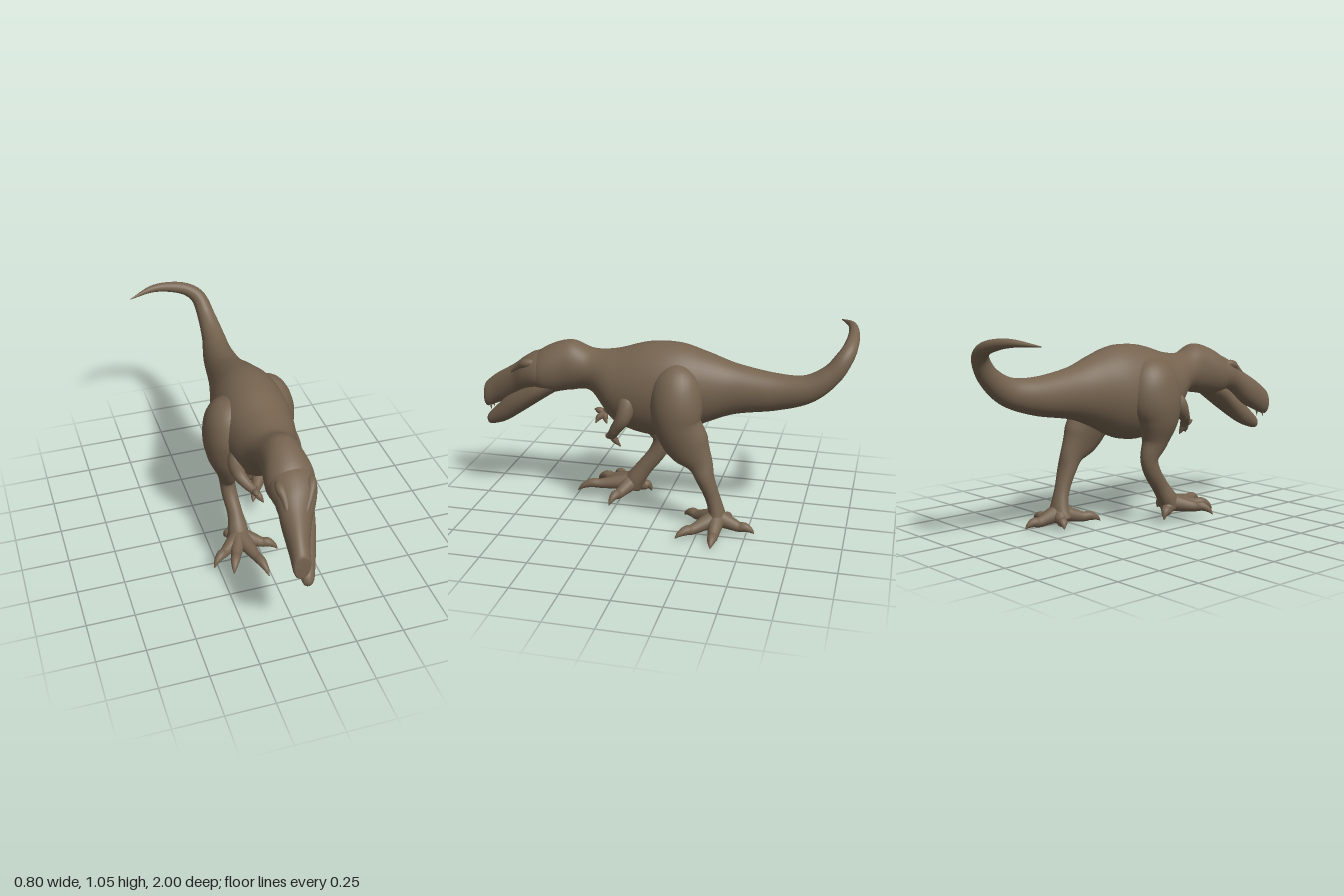
import * as THREE from 'three';

const hide = new THREE.MeshStandardMaterial({ color: 0x75634f });
hide.name = 'brownHide';

// Smooth loft through sections [x, y, z, halfWidth, halfDepth].
// Rings follow the path unless aim(centre, tangent) gives another direction.
function loft(name, sections, { steps = 6, sides = 28, aim = (c, dir) => dir } = {}) {
  const path = new THREE.CatmullRomCurve3(sections.map(s => new THREE.Vector3(s[0], s[1], s[2])), false, 'catmullrom');
  const size = new THREE.CatmullRomCurve3(sections.map(s => new THREE.Vector3(s[3], s[4] ?? s[3], 0)), false, 'catmullrom');
  const rings = (sections.length - 1) * steps;
  const pos = [], index = [];
  const side = new THREE.Vector3(1, 0, 0);
  for (let i = 0; i <= rings; i++) {
    const t = i / rings;
    const c = path.getPoint(t), r = size.getPoint(t);
    const dir = aim(c, path.getTangent(t));
    if (i === 0 && Math.abs(dir.x) > 0.7) side.set(0, 0, 1);
    side.addScaledVector(dir, -side.dot(dir)).normalize();
    const up = dir.clone().cross(side);
    for (let j = 0; j < sides; j++) {
      const a = j / sides * Math.PI * 2;
      const p = c.clone()
        .addScaledVector(side, Math.max(r.x, 0.001) * Math.cos(a))
        .addScaledVector(up, Math.max(r.y, 0.001) * Math.sin(a));
      pos.push(p.x, p.y, p.z);
    }
  }
  for (let i = 0; i < rings; i++) for (let j = 0; j < sides; j++) {
    const k = (j + 1) % sides;
    const a = i * sides + j, b = i * sides + k, c = b + sides, d = a + sides;
    index.push(a, b, c, a, c, d);
  }
  // End caps
  const first = pos.length / 3, last = first + 1, base = rings * sides;
  pos.push(...path.getPoint(0).toArray(), ...path.getPoint(1).toArray());
  for (let j = 0; j < sides; j++) {
    const k = (j + 1) % sides;
    index.push(first, k, j, last, base + j, base + k);
  }
  const g = new THREE.BufferGeometry();
  g.setAttribute('position', new THREE.Float32BufferAttribute(pos, 3));
  g.setIndex(index);
  g.computeVertexNormals();
  const mesh = new THREE.Mesh(g, hide);
  mesh.name = name;
  return mesh;
}

function blob(name, p, s, rot = [0, 0, 0]) {
  const m = new THREE.Mesh(new THREE.SphereGeometry(1, 20, 14), hide);
  m.name = name;
  m.position.set(...p);
  m.scale.set(...s);
  m.rotation.set(...rot);
  return m;
}

// Splayed toes, each ending in a down-curved claw; lift arches them higher
function foot(name, [cx, cy, cz], lift, tips) {
  const g = new THREE.Group();
  g.name = name;
  for (const [x, y, z] of tips) {
    const at = (f, h, r) => [cx + (x - cx) * f, h, cz + (z - cz) * f, r];
    g.add(loft('toe', [
      at(0, cy, 0.05), at(0.3, cy * 0.55 + y * 0.45 + 0.01 + lift * 0.4, 0.038), at(0.58, y + 0.026 + lift, 0.027),
      at(0.74, y + 0.029 + lift, 0.025), at(0.9, y + 0.018 + lift * 0.6, 0.015), at(1, y, 0.002),
    ], { sides: 14, steps: 4 }));
  }
  return g;
}

function arm(name, path, fingers) {
  const g = new THREE.Group();
  g.name = name;
  g.add(loft('forelimb', path, { sides: 16 }));
  const [x, y, z] = path[path.length - 1];
  for (const [fx, fy, fz] of fingers) {
    g.add(loft('finger', [
      [x, y, z, 0.018], [(x + fx) / 2, (y + fy) / 2 + 0.004, (z + fz) / 2 + 0.006, 0.017], [fx, fy, fz, 0.003],
    ], { sides: 12 }));
  }
  return g;
}

export function createModel() {
  const model = new THREE.Group();
  model.name = 'dinosaur';
  const forward = new THREE.Vector3(0, 0, 1), backward = new THREE.Vector3(0, 0, -1);

  // Neck, torso and curling tail; rings stay upright until the tail begins
  model.add(loft('body', [
    [0.018, 0.735, 0.72, 0.07, 0.07], [0.02, 0.763, 0.62, 0.122, 0.125], [0.02, 0.799, 0.48, 0.106, 0.136],
    [0.012, 0.778, 0.36, 0.112, 0.115], [0.02, 0.71, 0.23, 0.17, 0.194], [0.02, 0.705, 0.06, 0.197, 0.247],
    [0.022, 0.715, -0.1, 0.19, 0.243], [0.018, 0.73, -0.25, 0.148, 0.187], [0.012, 0.733, -0.4, 0.108, 0.133],
    [0.018, 0.735, -0.6, 0.085, 0.098], [0.035, 0.767, -0.76, 0.065, 0.073], [0.028, 0.845, -0.875, 0.05, 0.055],
    [0.002, 0.935, -0.94, 0.042, 0.044], [-0.06, 0.987, -0.965, 0.035, 0.035], [-0.16, 1.017, -0.968, 0.028, 0.028],
    [-0.27, 1.03, -0.948, 0.019, 0.019], [-0.4, 1.02, -0.888, 0.002, 0.002],
  ], {
    steps: 8, sides: 40,
    aim: (c, dir) => dir.lerp(backward, THREE.MathUtils.smoothstep(c.z, -0.7, -0.4)).normalize(),
  }));

  // Head: skull with snout, and lower jaw, slightly turned
  const head = new THREE.Group();
  head.name = 'head';
  head.add(loft('upperJaw', [
    [0.02, 0.772, 0.54, 0.09, 0.1], [0.02, 0.762, 0.64, 0.118, 0.108], [0.012, 0.737, 0.73, 0.1, 0.094],
    [-0.014, 0.678, 0.81, 0.076, 0.092], [-0.038, 0.617, 0.92, 0.052, 0.085], [-0.048, 0.577, 0.985, 0.045, 0.074],
    [-0.049, 0.57, 1.0, 0.036, 0.06],
  ], { aim: () => forward }));
  head.add(loft('lowerJaw', [
    [0.03, 0.72, 0.54, 0.07, 0.055], [0.03, 0.667, 0.64, 0.093, 0.068], [0.03, 0.6, 0.74, 0.077, 0.07],
    [0.018, 0.524, 0.85, 0.053, 0.068], [0.002, 0.47, 0.93, 0.038, 0.047], [-0.004, 0.45, 0.965, 0.027, 0.032],
    [-0.004, 0.447, 0.98, 0.008, 0.01],
  ], { aim: () => forward }));
  for (const s of [-1, 1]) {
    // Slim brow ridges running down to the snout
    head.add(loft('brow', [
      [0.018 + s * 0.075, 0.815, 0.64, 0.01], [0.016 + s * 0.078, 0.812, 0.7, 0.024],
      [0.008 + s * 0.063, 0.783, 0.75, 0.018], [-0.016 + s * 0.04, 0.725, 0.82, 0.01],
    ], { sides: 14 }));
    head.add(blob('nostrilRidge', [-0.047 + s * 0.018, 0.637, 0.955], [0.013, 0.012, 0.035], [0.6, 0, 0]));
    const tooth = new THREE.Mesh(new THREE.ConeGeometry(0.007, 0.03, 8), hide);
    tooth.name = 'tooth';
    tooth.position.set(-0.045 + s * 0.022, 0.502, 0.965);
    tooth.rotation.x = Math.PI;
    head.add(tooth);
  }
  model.add(head);

  // Hind legs in mid stride, with a sharp hock on the trailing one
  model.add(loft('leftLeg', [
    [0.09, 0.865, -0.11, 0.05, 0.05], [0.135, 0.79, -0.115, 0.108, 0.118], [0.168, 0.68, -0.12, 0.122, 0.135],
    [0.18, 0.57, -0.132, 0.108, 0.123], [0.187, 0.465, -0.19, 0.074, 0.115], [0.191, 0.38, -0.25, 0.052, 0.07],
    [0.197, 0.3, -0.281, 0.053, 0.048], [0.191, 0.2, -0.318, 0.043, 0.039], [0.186, 0.12, -0.34, 0.054, 0.042],
    [0.182, 0.05, -0.345, 0.078, 0.055],
  ]));
  model.add(loft('rightLeg', [
    [-0.05, 0.87, 0.02, 0.05, 0.06], [-0.1, 0.79, 0.03, 0.118, 0.135], [-0.128, 0.68, 0.045, 0.122, 0.158],
    [-0.137, 0.57, 0.06, 0.099, 0.125], [-0.127, 0.46, 0.052, 0.062, 0.08], [-0.12, 0.37, 0.02, 0.043, 0.053],
    [-0.115, 0.29, 0.045, 0.041, 0.047], [-0.105, 0.2, 0.113, 0.041, 0.045], [-0.105, 0.13, 0.162, 0.054, 0.052],
    [-0.105, 0.08, 0.19, 0.055, 0.055],
  ]));
  model.add(foot('leftFoot', [0.186, 0.08, -0.345], 0, [
    [0.4, 0.004, -0.35], [0.36, 0.02, -0.16], [0.08, 0.025, -0.15], [0.21, 0.018, -0.545], [0.07, 0.02, -0.4],
  ]));
  model.add(foot('rightFoot', [-0.105, 0.105, 0.185], 0.014, [
    [-0.285, 0.045, 0.33], [-0.2, 0.05, 0.41], [-0.03, 0.05, 0.48], [0.085, 0.03, 0.27], [-0.16, 0.03, 0.09],
  ]));

  // Small forelimbs
  model.add(arm('leftArm', [
    [0.13, 0.73, 0.13, 0.03], [0.172, 0.67, 0.135, 0.05], [0.206, 0.595, 0.15, 0.04],
    [0.2, 0.53, 0.19, 0.03], [0.183, 0.485, 0.218, 0.024],
  ], [[0.165, 0.42, 0.175], [0.15, 0.455, 0.25]]));
  model.add(arm('rightArm', [
    [-0.1, 0.7, 0.2, 0.03], [-0.128, 0.64, 0.22, 0.045], [-0.125, 0.58, 0.26, 0.034],
    [-0.095, 0.54, 0.305, 0.026], [-0.065, 0.51, 0.325, 0.022],
  ], [[-0.045, 0.455, 0.31], [-0.03, 0.46, 0.37], [-0.07, 0.525, 0.385]]));

  return model;
}
